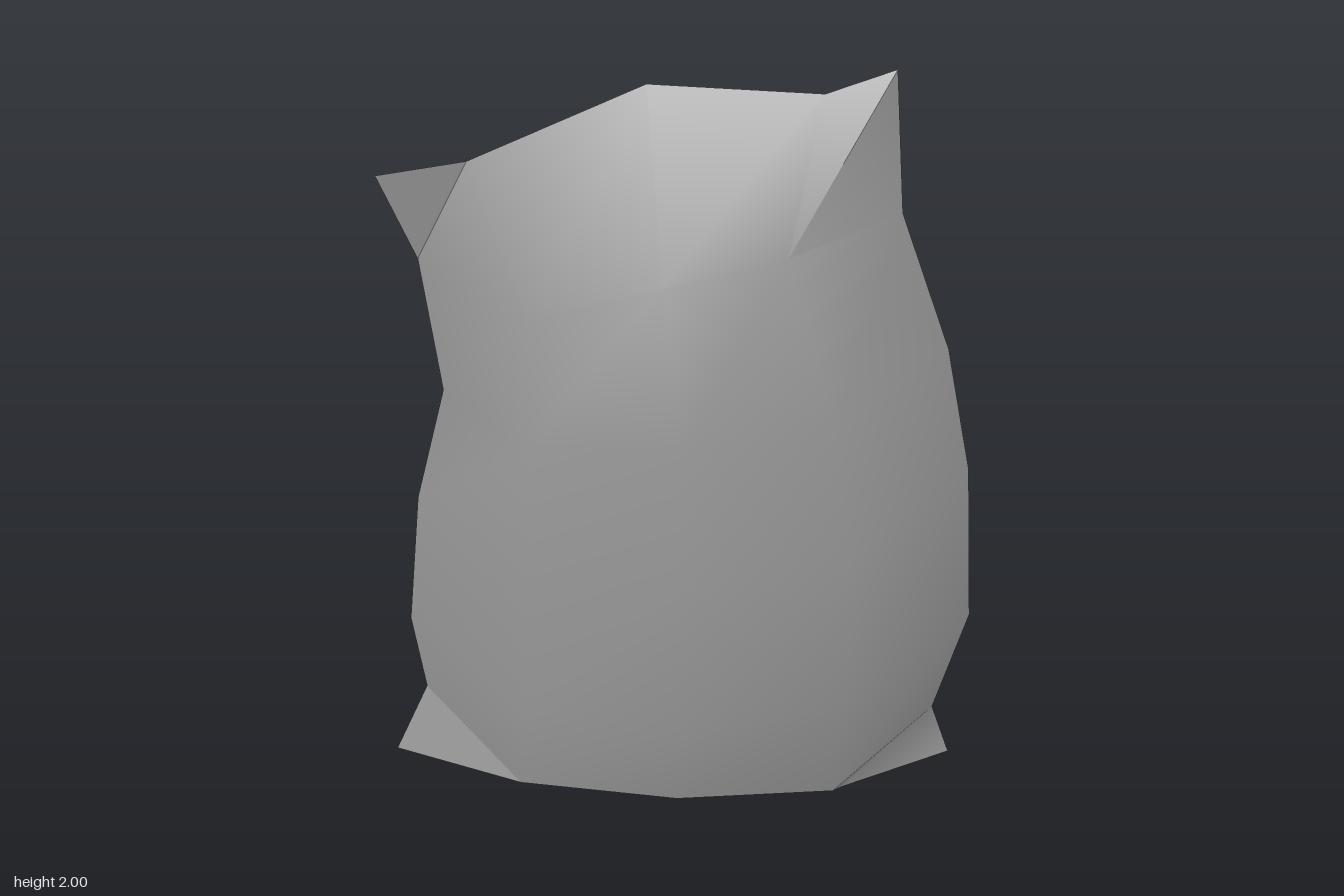
import * as THREE from 'three';
import { toCreasedNormals } from 'three/addons/utils/BufferGeometryUtils.js';

// Rings from bottom to top; each runs: right seam, front x3, left seam, back x3
const rings = [
  [[-0.66, 0.21, -0.01], [-0.4, 0.1, 0.25], [0, 0.075, 0.28], [0.4, 0.07, 0.24],
    [0.67, 0.15, -0.01], [0.4, 0.07, -0.24], [0, 0.09, -0.31], [-0.38, 0.08, -0.22]],
  [[-0.69, 0.43, -0.01], [-0.37, 0.37, 0.3], [0, 0.34, 0.36], [0.42, 0.38, 0.29],
    [0.75, 0.45, -0.01], [0.42, 0.4, -0.31], [0, 0.37, -0.375], [-0.38, 0.38, -0.31]],
  [[-0.65, 0.81, 0], [-0.36, 0.8, 0.31], [0.01, 0.8, 0.37], [0.42, 0.82, 0.3],
    [0.72, 0.9, 0], [0.41, 0.85, -0.31], [0, 0.8, -0.35], [-0.37, 0.8, -0.31]],
  [[-0.57, 1.13, 0.01], [-0.34, 1.15, 0.31], [0.01, 1.19, 0.375], [0.37, 1.2, 0.29],
    [0.65, 1.25, 0.01], [0.4, 1.22, -0.29], [0, 1.15, -0.33], [-0.36, 1.1, -0.29]],
  [[-0.61, 1.5, 0.03], [-0.34, 1.47, 0.27], [-0.03, 1.58, 0.315], [0.25, 1.62, 0.25],
    [0.52, 1.63, 0.04], [0.36, 1.67, -0.2], [0, 1.42, -0.31], [-0.35, 1.35, -0.25]],
];

// Each polygon is fanned from its first corner
function polygonGeometry(polygons) {
  const positions = [];
  for (const p of polygons) {
    for (let i = 1; i < p.length - 1; i++) positions.push(...p[0], ...p[i], ...p[i + 1]);
  }
  const geometry = new THREE.BufferGeometry();
  geometry.setAttribute('position', new THREE.Float32BufferAttribute(positions, 3));
  return toCreasedNormals(geometry, 0.9);
}

export function createModel() {
  const group = new THREE.Group();
  group.name = 'sack';
  const cloth = new THREE.MeshStandardMaterial({ color: 0x999999 });
  cloth.name = 'grey cloth';
  const add = (name, polygons) => {
    const mesh = new THREE.Mesh(polygonGeometry(polygons), cloth);
    mesh.name = name;
    group.add(mesh);
  };

  // Stuffed body and the pinched top, kept together for smooth shading
  const body = [];
  for (let r = 0; r < rings.length - 1; r++) {
    for (let i = 0; i < 8; i++) {
      const j = (i + 1) % 8;
      body.push([rings[r][i], rings[r][j], rings[r + 1][j], rings[r + 1][i]]);
    }
  }
  const [sr, f1, f2, f3, sl, b1, b2, b3] = rings[4];
  const seamR = [-0.48, 1.775, 0.075], seamM = [-0.07, 1.965, 0.07], seamL = [0.33, 1.94, 0.065];
  const tipR = [-0.69, 1.74, 0.08], tipL = [0.49, 2, 0.065];
  body.push(
    [sr, f1, seamR], [f1, f2, seamM, seamR], [f2, f3, seamL, seamM], [f3, sl, tipL, seamL],
    [sl, b1, seamL], [b1, b2, seamM, seamL], [b2, b3, seamR, seamM], [b3, sr, tipR, seamR],
  );
  add('body', body);

  // Flat sides of the top corner ears
  add('topEars', [[sr, seamR, tipR], [sl, seamL, tipL]]);

  // Folded base with two corner ears
  const [cr, g1, g2, g3, cl, h1, h2, h3] = rings[0];
  const footR = [-0.75, 0, -0.01], footL = [0.72, 0, -0.01];
  const foldR = [-0.49, 0, -0.08], foldM = [0, 0.01, 0.05], foldL = [0.43, 0, 0.14];
  add('base', [
    [footR, foldR, g1], [foldR, foldM, g2, g1], [foldM, foldL, g3, g2],
    [footL, foldL, h1], [foldL, foldM, h2, h1], [foldM, foldR, h3, h2],
  ]);
  add('bottomEars', [
    [footR, g1, cr], [foldR, footR, cr], [h3, foldR, cr],
    [footL, h1, cl], [foldL, footL, cl], [g3, foldL, cl],
  ]);
  return group;
}
